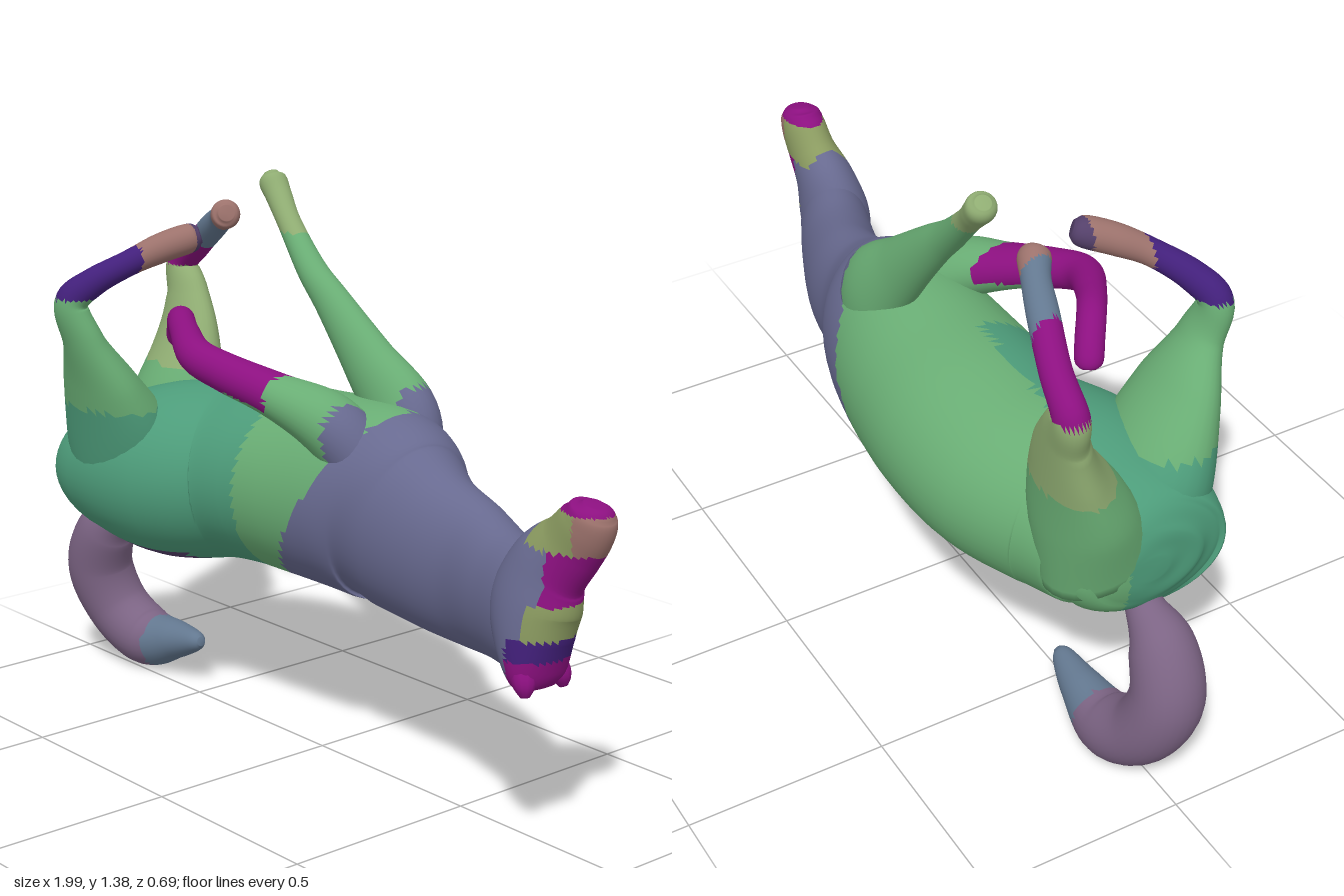
import * as THREE from 'three';

const C = {
  green: 0x69ad74, teal: 0x4d9c7a, pale: 0x8fac72, slate: 0x686a90, magenta: 0x8c1080,
  indigo: 0x43207c, tan: 0x9c726c, steel: 0x637890, mauve: 0x7c6484, olive: 0x8a9a60, plum: 0x54406a,
};

// Smooth loft through stations [x, y, z, ra, rb]; ra lies along ref, rb across it.
// colorAt(centre) picks the colour of each patch.
function loft(name, stations, ref, colorAt, sides = 28, perSpan = 8) {
  const curve = points => new THREE.CatmullRomCurve3(points, false, 'catmullrom', 0.5);
  const path = curve(stations.map(s => new THREE.Vector3(s[0], s[1], s[2])));
  const radii = curve(stations.map(s => new THREE.Vector3(s[3], s[4] ?? s[3], 0)));
  const n = (stations.length - 1) * perSpan;
  const pos = [], index = [];
  const v = new THREE.Vector3();
  for (let i = 0; i <= n; i++) {
    const c = path.getPoint(i / n), r = radii.getPoint(i / n), T = path.getTangent(i / n);
    const U = ref.clone().addScaledVector(T, -ref.dot(T)).normalize();
    const V = new THREE.Vector3().crossVectors(T, U);
    for (let j = 0; j < sides; j++) {
      const a = j / sides * Math.PI * 2;
      v.copy(c).addScaledVector(U, r.x * Math.cos(a)).addScaledVector(V, r.y * Math.sin(a));
      pos.push(v.x, v.y, v.z);
    }
  }
  for (let i = 0; i < n; i++) for (let j = 0; j < sides; j++) {
    const k = (j + 1) % sides, a = i * sides + j, b = i * sides + k;
    index.push(a, b, a + sides, b, b + sides, a + sides);
  }
  // closed ends
  const p0 = path.getPoint(0), p1 = path.getPoint(1), base = (n + 1) * sides;
  pos.push(p0.x, p0.y, p0.z, p1.x, p1.y, p1.z);
  for (let j = 0; j < sides; j++) {
    const k = (j + 1) % sides;
    index.push(base, k, j, base + 1, n * sides + j, n * sides + k);
  }
  const geo = new THREE.BufferGeometry();
  geo.setAttribute('position', new THREE.Float32BufferAttribute(pos, 3));
  geo.setIndex(index);
  geo.computeVertexNormals();

  // one mesh per colour, sharing the smooth normals
  const patches = new Map();
  for (let i = 0; i < index.length; i += 3) {
    const m = [0, 1, 2].map(q =>
      (pos[index[i] * 3 + q] + pos[index[i + 1] * 3 + q] + pos[index[i + 2] * 3 + q]) / 3);
    const color = colorAt(...m);
    if (!patches.has(color)) patches.set(color, []);
    patches.get(color).push(index[i], index[i + 1], index[i + 2]);
  }
  const group = new THREE.Group();
  group.name = name;
  for (const [color, idx] of patches) {
    const g = geo.clone();
    g.setIndex(idx);
    const mesh = new THREE.Mesh(g, new THREE.MeshStandardMaterial({ color }));
    mesh.name = name + 'Patch';
    group.add(mesh);
  }
  return group;
}

export function createModel() {
  const model = new THREE.Group();
  model.name = 'horseOnItsBack';
  const X = new THREE.Vector3(1, 0, 0), Y = new THREE.Vector3(0, 1, 0), Z = new THREE.Vector3(0, 0, 1);

  // rump, barrel, chest and neck
  model.add(loft('body', [
    [-0.842, 0.6, 0.01, 0.03, 0.04], [-0.83, 0.6, 0.01, 0.095, 0.135], [-0.79, 0.6, 0.012, 0.15, 0.198],
    [-0.7, 0.6, 0.025, 0.193, 0.23], [-0.55, 0.61, 0, 0.228, 0.25], [-0.4, 0.625, -0.075, 0.225, 0.25],
    [-0.25, 0.64, -0.095, 0.23, 0.25], [-0.1, 0.645, -0.095, 0.235, 0.238], [0.05, 0.65, -0.09, 0.242, 0.217],
    [0.16, 0.645, -0.083, 0.243, 0.192], [0.25, 0.615, -0.068, 0.222, 0.16], [0.36, 0.587, -0.055, 0.197, 0.128],
    [0.5, 0.568, -0.04, 0.178, 0.11], [0.64, 0.563, 0.005, 0.153, 0.1], [0.76, 0.565, 0.05, 0.146, 0.09],
    [0.83, 0.575, 0.068, 0.125, 0.075], [0.86, 0.58, 0.072, 0.07, 0.045],
  ], Y, (x, y, z) => {
    if (x > -0.1 + (y - 0.43) * 0.65) return C.slate;
    if (y < 0.43 && x < -0.42) return C.plum;
    return z > -0.05 && x < -0.17 ? C.teal : C.green;
  }, 48));

  // head: poll at the bottom, muzzle at the top
  model.add(loft('head', [
    [0.825, 0.418, 0.085, 0.03, 0.05], [0.82, 0.445, 0.085, 0.053, 0.078], [0.805, 0.52, 0.08, 0.09, 0.088],
    [0.8, 0.6, 0.07, 0.112, 0.088], [0.825, 0.68, 0.06, 0.1, 0.075], [0.883, 0.745, 0.052, 0.08, 0.06],
    [0.925, 0.8, 0.05, 0.07, 0.056], [0.94, 0.835, 0.05, 0.055, 0.048], [0.944, 0.852, 0.05, 0.025, 0.022],
  ], X, (x, y) => {
    if (x < 0.8) return C.slate;
    if (y > 0.83) return C.magenta;
    if (y > 0.74) return x > 0.93 ? C.tan : C.olive;
    if (y > 0.62) return x > 0.87 ? C.magenta : C.slate;
    if (y > 0.54) return x > 0.84 ? C.olive : C.slate;
    return y < 0.49 ? C.magenta : C.indigo;
  }, 32));

  // ears
  for (const side of [-1, 1]) {
    model.add(loft(side > 0 ? 'leftEar' : 'rightEar', [
      [0.82, 0.47, 0.085 + side * 0.045, 0.032], [0.838, 0.435, 0.085 + side * 0.056, 0.026],
      [0.845, 0.41, 0.085 + side * 0.06, 0.01],
    ], X, () => C.magenta, 12, 5));
  }

  // hind legs, hip to hoof
  model.add(loft('leftHindLeg', [
    [-0.66, 0.56, 0.08, 0.15, 0.15], [-0.63, 0.72, 0.145, 0.122, 0.17], [-0.605, 0.87, 0.22, 0.075, 0.13],
    [-0.592, 0.98, 0.278, 0.045, 0.068], [-0.603, 1.075, 0.305, 0.04, 0.046], [-0.56, 1.13, 0.27, 0.036],
    [-0.5, 1.18, 0.2, 0.032], [-0.46, 1.215, 0.13, 0.037], [-0.425, 1.238, 0.065, 0.036],
    [-0.412, 1.245, 0.045, 0.02],
  ], Z, (x, y, z) => {
    if (y < 1.09) return y > 0.8 ? C.green : C.teal;
    return z > 0.19 ? C.indigo : z > 0.07 ? C.tan : C.plum;
  }));
  model.add(loft('rightHindLeg', [
    [-0.72, 0.58, -0.06, 0.14, 0.12], [-0.72, 0.75, -0.11, 0.11, 0.145], [-0.745, 0.9, -0.162, 0.066, 0.115],
    [-0.778, 1.01, -0.19, 0.046, 0.075], [-0.813, 1.09, -0.203, 0.04, 0.046], [-0.73, 1.15, -0.19, 0.036],
    [-0.62, 1.215, -0.155, 0.036], [-0.55, 1.25, -0.13, 0.033], [-0.497, 1.27, -0.103, 0.037],
    [-0.482, 1.275, -0.093, 0.02],
  ], Z, (x, y) => {
    if (y < 1.09) return y > 0.85 ? C.pale : C.green;
    return x < -0.66 ? C.magenta : x < -0.53 ? C.steel : C.tan;
  }));

  // forelegs, shoulder to hoof
  model.add(loft('rightForeleg', [
    [0.13, 0.74, -0.15, 0.09, 0.1], [0.1, 0.85, -0.165, 0.078, 0.105], [0, 0.965, -0.15, 0.058, 0.075],
    [-0.12, 1.09, -0.14, 0.042, 0.05], [-0.2, 1.165, -0.137, 0.037], [-0.3, 1.265, -0.15, 0.03],
    [-0.36, 1.325, -0.165, 0.033], [-0.393, 1.36, -0.172, 0.035], [-0.405, 1.378, -0.175, 0.018],
  ], Z, (x, y) => (y < 0.93 && x > 0.15 ? C.slate : y > 1.25 ? C.pale : C.green)));
  model.add(loft('leftForeleg', [
    [0.14, 0.74, -0.03, 0.08, 0.09], [0.07, 0.85, 0.035, 0.078, 0.085], [-0.05, 0.91, 0.1, 0.056, 0.062],
    [-0.17, 0.955, 0.16, 0.048], [-0.26, 0.985, 0.18, 0.044], [-0.37, 1.018, 0.13, 0.036],
    [-0.45, 1.03, 0.08, 0.034], [-0.5, 1.0, 0.045, 0.034], [-0.53, 0.965, 0.025, 0.032],
    [-0.538, 0.95, 0.02, 0.016],
  ], Y, (x, y) => {
    if (x > 0.12) return C.slate;
    return x < -0.03 && y + x * 0.3 > 0.87 || x < -0.15 ? C.magenta : C.green;
  }));

  // curled tail
  model.add(loft('tail', [
    [-0.75, 0.5, 0.02, 0.035], [-0.8, 0.445, 0.025, 0.048], [-0.865, 0.38, 0.03, 0.078],
    [-0.91, 0.265, 0.02, 0.088], [-0.87, 0.148, -0.01, 0.084], [-0.77, 0.085, -0.035, 0.08],
    [-0.65, 0.105, -0.04, 0.052], [-0.56, 0.125, -0.035, 0.028], [-0.535, 0.13, -0.035, 0.012],
  ], Z, (x, y) => (x > -0.72 && y < 0.2 ? C.steel : C.mauve)));

  return model;
}
